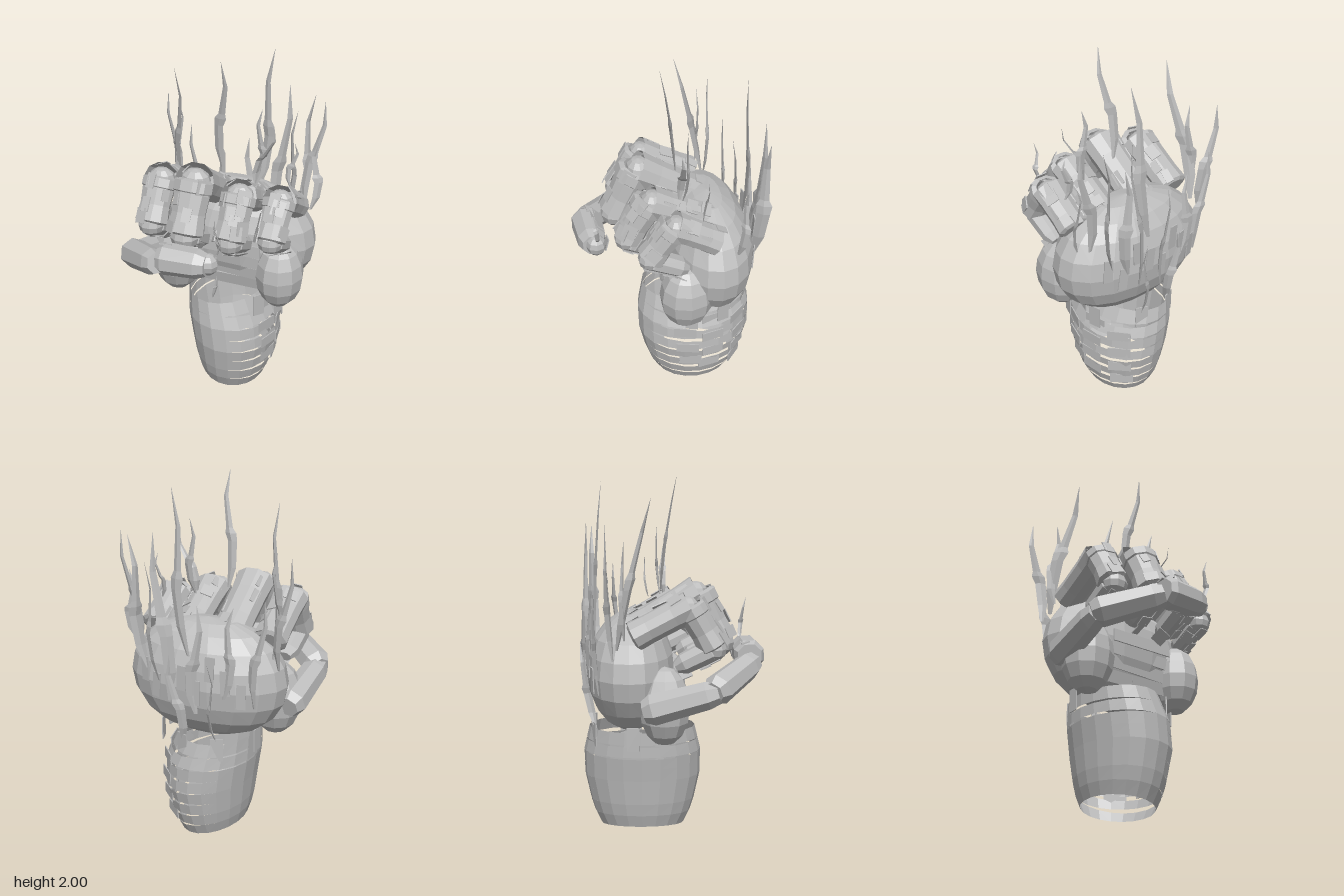
import * as THREE from 'three';

const steel = new THREE.MeshStandardMaterial({ color: 0xbcbcbc, flatShading: true, side: THREE.DoubleSide });
steel.name = 'steel grey';
const V = (p) => new THREE.Vector3(...p);
const UP = V([0, 1, 0]);

function add(parent, name, geo, pos = [0, 0, 0], rot = [0, 0, 0]) {
  const m = new THREE.Mesh(geo, steel);
  m.name = name;
  m.position.set(...pos);
  m.rotation.set(...rot);
  parent.add(m);
  return m;
}

// Seeded jitter for the armour scales
let seed = 7;
const jitter = (s) => {
  seed = (seed * 16807) % 2147483647;
  return (seed / 2147483647 - 0.5) * 2 * s;
};

// Skin closed rows of points into a surface
function skin(rows) {
  const pos = [], n = rows[0].length;
  for (let i = 0; i < rows.length - 1; i++) {
    for (let j = 0; j < n; j++) {
      const k = (j + 1) % n;
      const [a, b, c, d] = [rows[i][j], rows[i][k], rows[i + 1][k], rows[i + 1][j]];
      for (const p of [a, c, b, a, d, c]) pos.push(p.x, p.y, p.z);
    }
  }
  const g = new THREE.BufferGeometry();
  g.setAttribute('position', new THREE.Float32BufferAttribute(pos, 3));
  g.computeVertexNormals();
  return g;
}

// Turned segment from a to b; profile is [fraction of length, radius]
function segment(parent, name, a, b, profile, sides = 8, flat = 1) {
  const dir = V(b).sub(V(a)), len = dir.length();
  const g = new THREE.Group();
  g.name = name;
  g.position.set(...a);
  g.quaternion.setFromUnitVectors(UP, dir.normalize());
  const geo = new THREE.LatheGeometry(profile.map(([t, r]) => new THREE.Vector2(r, t * len)), sides, Math.PI / sides);
  geo.scale(1, 1, flat);
  add(g, name + 'Shell', geo);
  parent.add(g);
  g.userData.len = len;
  return g;
}

// Loose overlapping scales on the outer side of a segment
function scales(seg, r, count) {
  const len = seg.userData.len;
  for (let i = 0; i < count; i++) {
    const t = (i + 0.5) / count, a = jitter(1.3);
    add(seg, 'scale', new THREE.BoxGeometry(0.06 + jitter(0.02), 0.07 + jitter(0.015), 0.006),
      [Math.sin(a) * r, t * len, -Math.cos(a) * r], [jitter(0.08), -a, jitter(0.1)]);
  }
}

// Curved flame-shaped blade with a barb part way up
function blade(parent, points, w) {
  const curve = new THREE.CatmullRomCurve3(points.map(V));
  const profile = [[0, 0.3], [0.18, 0.9], [0.4, 1], [0.46, 1.25], [0.5, 0.75], [0.75, 0.5], [1, 0.02]];
  const turn = jitter(1.2);
  const rows = profile.map(([t, k]) => {
    const c = curve.getPoint(t);
    return [0, 1, 2, 3].map((j) => {
      const s = k * w * (j % 2 ? 0.3 : 1), a = turn + j * Math.PI / 2;
      return V([c.x + Math.cos(a) * s, c.y, c.z + Math.sin(a) * s]);
    });
  });
  add(parent, 'flameBlade', skin(rows));
}

function ellipsoid(parent, name, pos, size, w = 14, h = 10) {
  const g = new THREE.SphereGeometry(1, w, h);
  g.scale(...size);
  return add(parent, name, g, pos);
}

function makeCuff() {
  const cuff = new THREE.Group();
  cuff.name = 'wristCuff';
  // t, centre x, x radius, z radius
  const keys = [[0, 0.035, 0.178, 0.235], [0.17, 0.043, 0.217, 0.285], [0.5, 0.05, 0.248, 0.328],
    [0.75, 0.033, 0.253, 0.33], [1, -0.005, 0.217, 0.295]];
  const point = (t, a) => {
    let i = 0;
    while (i < keys.length - 2 && t > keys[i + 1][0]) i++;
    const f = (t - keys[i][0]) / (keys[i + 1][0] - keys[i][0]);
    const [cx, rx, rz] = [1, 2, 3].map((k) => THREE.MathUtils.lerp(keys[i][k], keys[i + 1][k], f));
    return V([cx + rx * Math.cos(a), t * 0.62 + (1 - t) * (0.03 - 0.03 * Math.cos(a)), -0.155 + rz * Math.sin(a)]);
  };
  const bands = 8, n = 20;
  const angles = Array.from({ length: n }, (_, j) => -j / n * Math.PI * 2);
  // Slits open towards the left and back, and a little on the right near the rim
  const slit = (i, a) => 0.04 * Math.max(0, Math.cos(a + 0.35)) + (i > 4 ? 0.02 * Math.max(0, -Math.cos(a)) : 0);
  for (let i = 0; i < bands; i++) {
    const rows = [0, 1].map((e) => angles.map((a) =>
      point((i + e) / bands - (i < bands - 1 ? e * slit(i, a) : 0), a)));
    add(cuff, 'cuffBand', skin(rows));
  }
  // Plates riveted over the left side
  for (let i = 0; i < 12; i++) {
    const a = -0.75 + (i % 3) * 0.5 + jitter(0.1), p = point(0.22 + i * 0.06, a);
    add(cuff, 'cuffPlate', new THREE.BoxGeometry(0.13, 0.06, 0.006), p.toArray(), [0, Math.PI / 2 - a, 0]);
  }
  // Short tabs round the rim
  for (const [x, z] of [[0.34, -0.08], [0.3, -0.27], [0.1, -0.43], [-0.1, -0.42], [-0.24, -0.2], [0.25, 0]]) {
    add(cuff, 'rimTab', new THREE.BoxGeometry(0.07, 0.13, 0.006), [x, 0.59, z],
      [0, Math.atan2(x, z + 0.18), 0]);
  }
  return cuff;
}

function makeFinger(x, k, top, reach, scaleCount) {
  const finger = new THREE.Group();
  finger.name = 'finger';
  const r = 0.1 * k;
  const knuckle = [x, 1.16, -0.2], bend = [x, top - 0.085, reach - 0.19], low = [x, 1.1, reach - 0.05];
  // First phalanx ends in an open flared sleeve
  const first = segment(finger, 'firstPhalanx', knuckle, bend,
    [[0, 0], [0, 0.75 * r], [0.04, r], [0.3, 0.95 * r], [0.75, 0.97 * r], [1.05, 1.06 * r]], 10, 0.85);
  ellipsoid(finger, 'fingerJoint', bend, [r * 0.8, r * 0.65, r * 0.65], 10, 6);
  const second = segment(finger, 'secondPhalanx', [x, bend[1] + 0.01, bend[2] + 0.01], low,
    [[0, 0.75 * r], [0.04, 1.03 * r], [0.22, 1.03 * r], [0.24, 0.95 * r], [0.6, 0.88 * r], [0.95, 0.98 * r], [1, 0.7 * r]], 10, 0.9);
  ellipsoid(finger, 'fingerJoint', low, [r * 0.75, r * 0.7, r * 0.7], 10, 6);
  const tip = segment(finger, 'fingertip', low, [x, 1.0, reach - 0.25],
    [[0, 0.6 * r], [0.1, 0.78 * r], [0.8, 0.7 * r], [1, 0.4 * r], [1, 0]], 8, 0.85);
  scales(first, r * 0.86, scaleCount);
  scales(second, r * 0.88, scaleCount);
  scales(tip, r * 0.68, 4);
  return finger;
}

function makeThumb() {
  const thumb = new THREE.Group();
  thumb.name = 'thumb';
  const tube = [[0, 0], [0, 0.06], [0.12, 0.085], [0.85, 0.075], [1, 0.06], [1, 0]];
  segment(thumb, 'thumbBase', [-0.39, 0.78, -0.14], [-0.42, 0.89, 0.25], tube, 7);
  segment(thumb, 'thumbMiddle', [-0.44, 0.89, 0.22], [-0.15, 1.0, 0.45], tube, 7);
  const end = segment(thumb, 'thumbEnd', [-0.14, 1.03, 0.435], [0.13, 1.04, 0.425],
    [[0, 0], [0, 0.07], [0.12, 0.088], [0.8, 0.08], [1, 0.06], [1, 0]], 8);
  ellipsoid(thumb, 'thumbTip', [0.13, 1.04, 0.41], [0.055, 0.06, 0.055], 8, 6);
  scales(end, 0.078, 4);
  blade(thumb, [[0.14, 1.06, 0.4], [0.2, 1.15, 0.41], [0.17, 1.24, 0.42], [0.18, 1.32, 0.44]], 0.015);
  return thumb;
}

export function createModel() {
  const model = new THREE.Group();
  model.name = 'armouredFist';
  model.add(makeCuff());

  // Hand shell, filled out towards its two ends
  const shell = new THREE.SphereGeometry(1, 18, 10);
  const p = shell.attributes.position;
  for (let i = 0; i < p.count; i++) p.setX(i, Math.sign(p.getX(i)) * Math.abs(p.getX(i)) ** 0.85);
  shell.scale(0.455, 0.33, 0.245);
  add(model, 'handShell', shell, [0.04, 0.93, -0.215]);

  // Heels of the palm and banded inner palm
  ellipsoid(model, 'thumbHeel', [-0.275, 0.785, -0.03], [0.15, 0.215, 0.14], 10, 8);
  ellipsoid(model, 'outerHeel', [0.355, 0.8, -0.045], [0.135, 0.2, 0.15], 10, 8);
  for (let i = 0; i < 4; i++) {
    add(model, 'palmBand', new THREE.BoxGeometry(0.4, 0.07, 0.008), [0.06, 0.71 + i * 0.075, -0.02 + i * 0.015],
      [0.2 - i * 0.08, 0, jitter(0.04)]);
  }

  // x, thickness, top height, forward reach, scale count
  for (const f of [[-0.3, 0.97, 1.4, 0.28, 4], [-0.07, 1.08, 1.45, 0.33, 4],
    [0.175, 0.97, 1.4, 0.3, 8], [0.37, 0.9, 1.37, 0.21, 6]]) model.add(makeFinger(...f));
  model.add(makeThumb());

  // Flame blades: base, tip, half width
  const flames = [
    [[0, 1.38, -0.05], [0.03, 2.0, 0.04], 0.028], [[0.06, 1.1, -0.42], [0.16, 1.97, -0.38], 0.032],
    [[-0.36, 1.1, -0.28], [-0.31, 1.88, -0.1], 0.034], [[-0.4, 1.05, -0.3], [-0.47, 1.66, -0.33], 0.03],
    [[-0.36, 1.15, -0.24], [-0.36, 1.66, -0.24], 0.025], [[0.2, 1.32, -0.05], [0.22, 1.74, -0.07], 0.025],
    [[0.2, 1.33, -0.03], [0.31, 1.66, -0.02], 0.022], [[0.3, 1.0, -0.42], [0.38, 1.72, -0.45], 0.034],
    [[0.38, 1.1, -0.34], [0.46, 1.72, -0.38], 0.028], [[0.43, 1.1, -0.3], [0.45, 1.5, -0.33], 0.025],
    [[-0.15, 0.9, -0.44], [-0.2, 1.4, -0.42], 0.03], [[0, 0.8, -0.46], [-0.02, 1.4, -0.47], 0.03],
    [[0.15, 0.85, -0.46], [0.22, 1.75, -0.47], 0.034], [[-0.3, 0.85, -0.38], [-0.36, 1.45, -0.4], 0.028],
    [[0.37, 1.3, -0.12], [0.38, 1.55, -0.14], 0.018], [[0.22, 0.95, -0.45], [0.27, 1.6, -0.48], 0.03],
    [[0.1, 0.6, -0.42], [0.13, 1.12, -0.5], 0.025], [[-0.1, 0.62, -0.41], [-0.08, 1.1, -0.49], 0.025]];
  flames.forEach(([a, b, w], i) => {
    const s = (i % 2 ? 1 : -1) * 0.03;
    const mix = (t, dx) => [a[0] + (b[0] - a[0]) * t + dx, a[1] + (b[1] - a[1]) * t,
      a[2] + (b[2] - a[2]) * t - Math.abs(dx) * 0.4];
    blade(model, [a, mix(0.33, s), mix(0.7, -s * 0.7), b], w);
  });
  blade(model, [[-0.03, 0.58, 0.02], [-0.01, 0.66, 0.02], [0, 0.74, 0.02]], 0.015);

  // Loose plates hanging down the back of the hand
  for (let i = 0; i < 8; i++) {
    const x = -0.24 + i * 0.08, bow = 1 - ((x - 0.04) / 0.47) ** 2;
    add(model, 'backPlate', new THREE.BoxGeometry(0.05, 0.14, 0.006),
      [x, 0.92 + (i % 3) * 0.07, -0.22 - 0.245 * Math.sqrt(bow)], [-0.04, -(x - 0.04) * 1.1, jitter(0.1)]);
  }
  return model;
}
